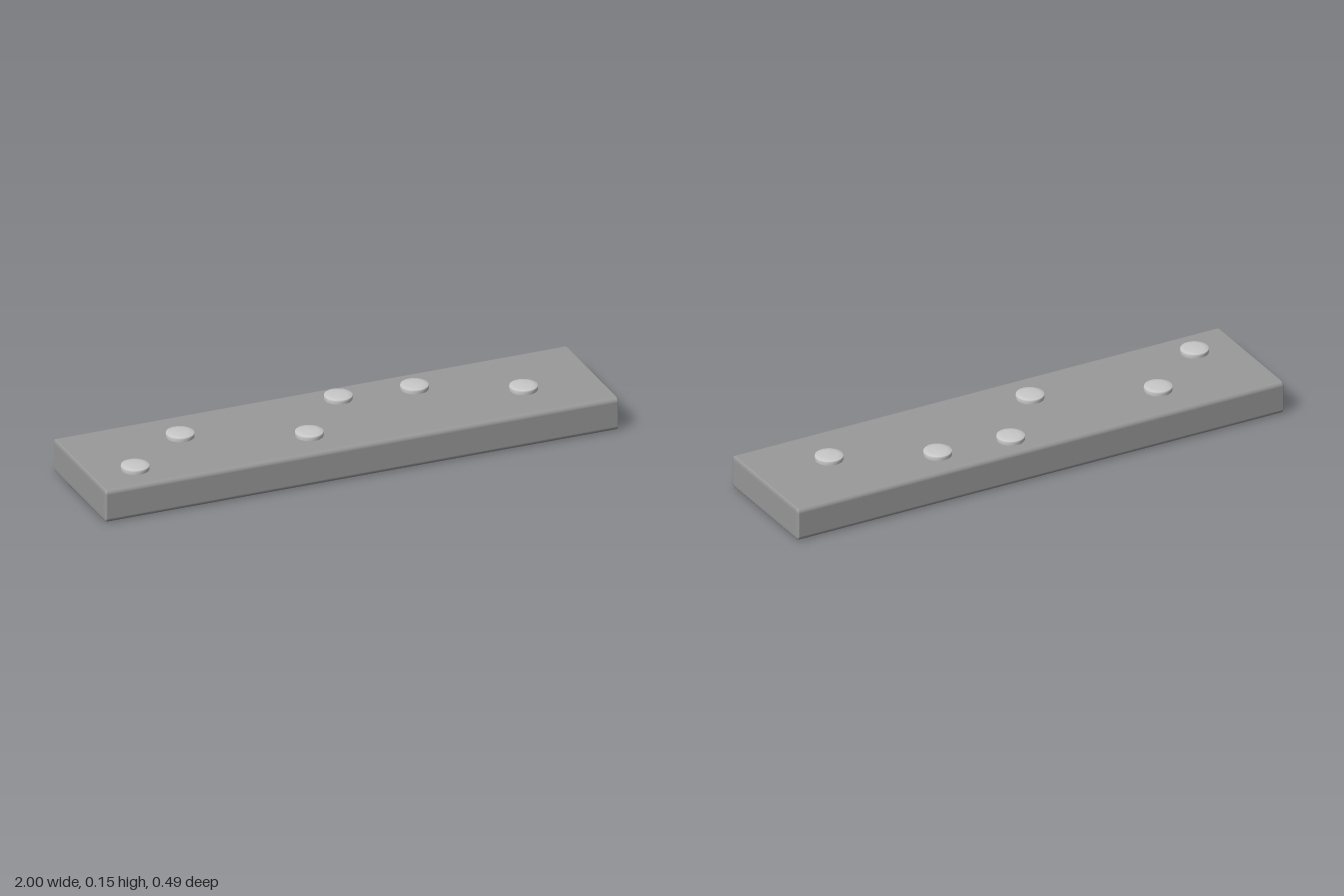
import * as THREE from 'three';
import { RoundedBoxGeometry } from 'three/addons/geometries/RoundedBoxGeometry.js';

export function createModel() {
  const model = new THREE.Group();
  model.name = 'studdedPlank';

  const slabGrey = new THREE.MeshStandardMaterial({ name: 'slabGrey', color: 0x999999 });
  const studGrey = new THREE.MeshStandardMaterial({ name: 'studGrey', color: 0xc8c8c8 });

  // Plank: long edges well rounded, the end edges much tighter
  const height = 0.129;
  const squeeze = 0.4;
  const slabGeometry = new RoundedBoxGeometry(2 / squeeze, height, 0.486, 4, 0.018);
  slabGeometry.scale(squeeze, 1, 1);
  const slab = new THREE.Mesh(slabGeometry, slabGrey);
  slab.name = 'plank';
  slab.position.y = height / 2;
  model.add(slab);

  // Studs: short discs with a softly domed cap, seated just below the top face
  const profile = [
    [0.051, -0.004], [0.052, 0.005], [0.052, 0.012], [0.051, 0.017], [0.033, 0.02], [0, 0.021],
  ].map(([r, y]) => new THREE.Vector2(r, y));
  const studGeometry = new THREE.LatheGeometry(profile, 32);

  const places = [
    [-0.83, 0.113], [-0.575, -0.075], [-0.145, 0.097],
    [0.07, -0.144], [0.355, -0.117], [0.712, 0.042],
  ];
  places.forEach(([x, z], i) => {
    const stud = new THREE.Mesh(studGeometry, studGrey);
    stud.name = `stud${i + 1}`;
    stud.position.set(x, height, z);
    model.add(stud);
  });

  return model;
}
